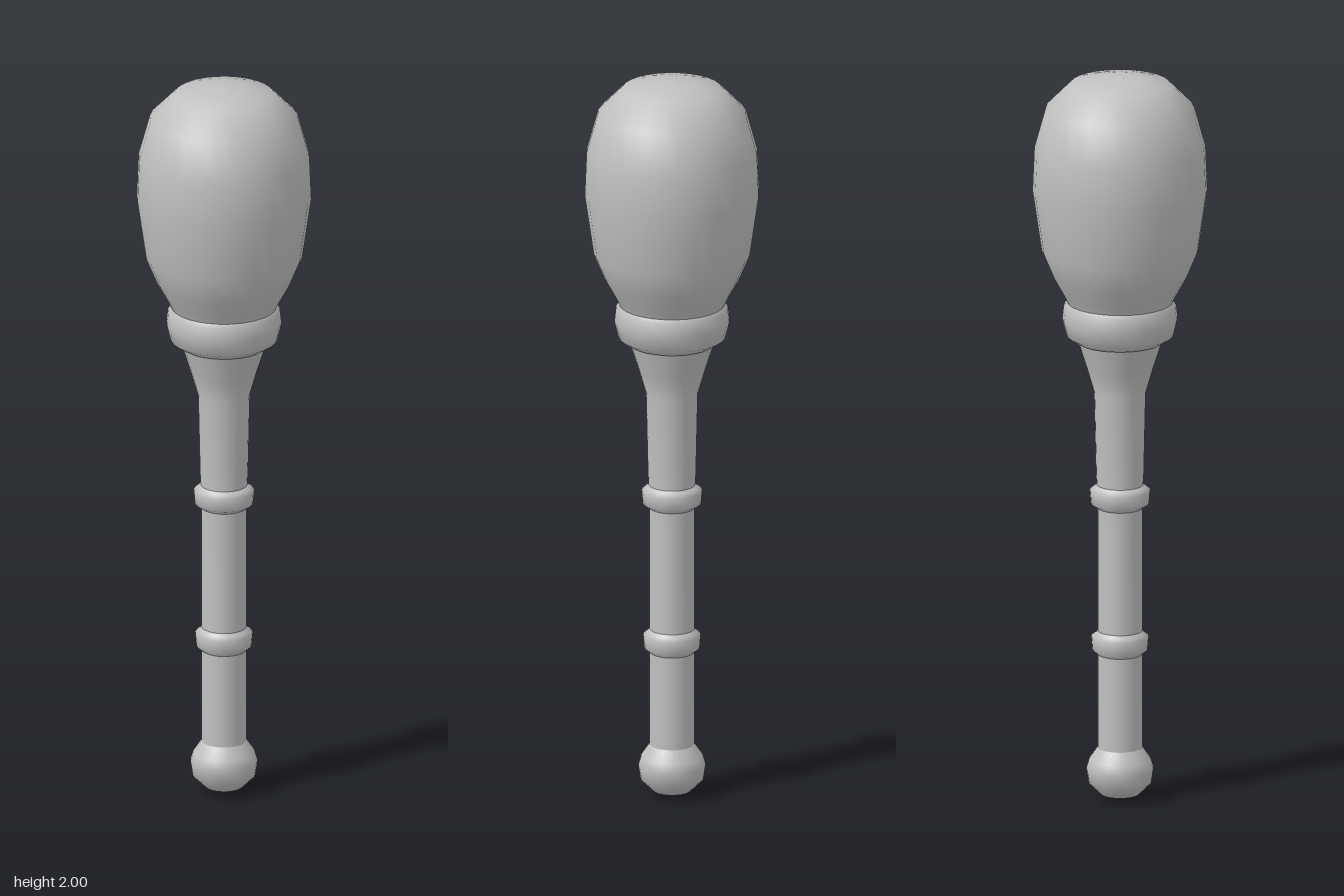
import * as THREE from 'three';

const SIDES = 28;

export function createModel() {
  const group = new THREE.Group();
  const grey = new THREE.MeshStandardMaterial({ color: 0xc0c0c0 });
  grey.name = 'grey';

  // Turned part from [radius, height] pairs, listed bottom to top
  const turn = (name, profile) => {
    const points = profile.map(([r, y]) => new THREE.Vector2(r, y));
    const mesh = new THREE.Mesh(new THREE.LatheGeometry(points, SIDES), grey);
    mesh.name = name;
    group.add(mesh);
  };

  // Rounded pommel at the foot
  turn('pommel', [[0, 0], [0.052, 0.013], [0.084, 0.045], [0.09, 0.085], [0.082, 0.11], [0.06, 0.142]]);

  // Straight grip flaring out below the collar
  turn('handle', [[0.06, 0.14], [0.06, 0.45], [0.06, 0.83], [0.064, 0.9], [0.069, 1.125], [0.088, 1.19], [0.114, 1.272]]);

  // Two raised rings on the grip
  [['lowerRing', 0.433, 0.077], ['upperRing', 0.838, 0.081]].forEach(([name, y, r]) => {
    turn(name, [[0.058, y - 0.034], [r - 0.003, y - 0.02], [r, y + 0.016], [r - 0.012, y + 0.025], [0.058, y + 0.036]]);
  });

  // Collar under the head
  turn('collar', [[0.1, 1.263], [0.118, 1.268], [0.143, 1.285], [0.154, 1.33], [0.15, 1.365], [0.138, 1.38]]);

  // Bulbous head
  turn('head', [
    [0.138, 1.37], [0.152, 1.4], [0.18, 1.45], [0.209, 1.52], [0.233, 1.685],
    [0.228, 1.805], [0.198, 1.913], [0.132, 1.98], [0.06, 1.994], [0, 2],
  ]);

  return group;
}
